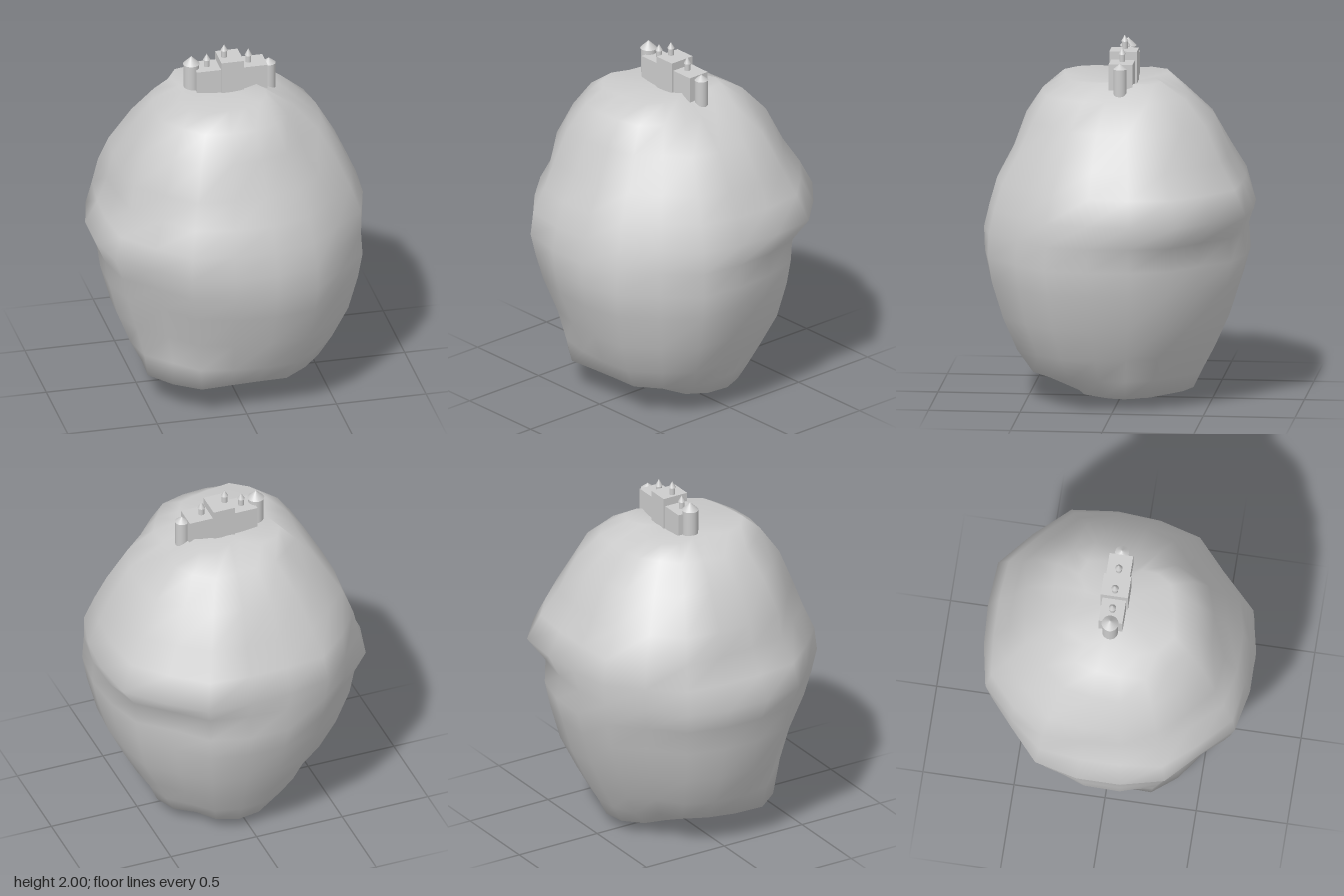
import * as THREE from 'three';

const SEGMENTS = 20;

// Rock rings: height, then radii every 45 degrees starting at +x and turning towards +z
const RINGS = [
  [0.01, 0.14, 0.12, 0.08, 0.10, 0.10, 0.10, 0.20, 0.15],
  [0.07, 0.41, 0.29, 0.18, 0.22, 0.20, 0.25, 0.40, 0.36],
  [0.17, 0.46, 0.50, 0.46, 0.54, 0.47, 0.38, 0.45, 0.43],
  [0.30, 0.53, 0.58, 0.55, 0.54, 0.55, 0.47, 0.52, 0.50],
  [0.48, 0.62, 0.66, 0.62, 0.58, 0.63, 0.56, 0.60, 0.59],
  [0.68, 0.68, 0.71, 0.70, 0.65, 0.68, 0.64, 0.66, 0.64],
  [0.82, 0.71, 0.73, 0.73, 0.69, 0.70, 0.67, 0.70, 0.66],
  [0.95, 0.71, 0.72, 0.74, 0.73, 0.76, 0.72, 0.68, 0.67],
  [1.08, 0.75, 0.70, 0.71, 0.72, 0.69, 0.72, 0.73, 0.78],
  [1.22, 0.69, 0.65, 0.67, 0.65, 0.63, 0.70, 0.67, 0.71],
  [1.36, 0.63, 0.58, 0.59, 0.62, 0.61, 0.62, 0.59, 0.62],
  [1.55, 0.52, 0.48, 0.52, 0.54, 0.50, 0.50, 0.51, 0.52],
  [1.69, 0.32, 0.39, 0.43, 0.44, 0.40, 0.37, 0.36, 0.40],
  [1.77, 0.14, 0.26, 0.30, 0.36, 0.24, 0.32, 0.18, 0.28],
];

// Smooth periodic interpolation between the eight radii of a ring,
// with blunt corners at 27 and 63 degrees in each quadrant
function radiusAt(radii, angle) {
  const t = angle / (Math.PI / 4);
  const i = Math.floor(t), f = t - i;
  const [a, b, c, d] = [-1, 0, 1, 2].map(k => radii[(i + k + 8) % 8]);
  const r = b + 0.5 * f * (c - a + f * (2 * a - 5 * b + 4 * c - d + f * (3 * (b - c) + d - a)));
  const fromDiagonal = (angle % (Math.PI / 2)) - Math.PI / 4;
  return r * (1.01 + 0.035 * Math.sin(2 * angle) ** 2 * (1 - Math.cos(10 * fromDiagonal)));
}

function rockGeometry() {
  const positions = [], index = [];
  for (const [y, ...radii] of RINGS) {
    for (let i = 0; i < SEGMENTS; i++) {
      const a = ((i + 0.5) / SEGMENTS) * Math.PI * 2;
      const r = radiusAt(radii, a);
      positions.push(r * Math.cos(a), y, r * Math.sin(a));
    }
  }
  const bottom = positions.length / 3, top = bottom + 1;
  positions.push(0.03, 0, -0.05, 0, 1.735, -0.02);
  const last = (RINGS.length - 1) * SEGMENTS;
  for (let i = 0; i < SEGMENTS; i++) {
    const n = (i + 1) % SEGMENTS;
    for (let s = 0; s < last; s += SEGMENTS) {
      const a = s + i, b = s + n, c = a + SEGMENTS, d = b + SEGMENTS;
      index.push(a, c, b, b, c, d);
    }
    index.push(bottom, i, n, top, last + n, last + i);
  }
  const geometry = new THREE.BufferGeometry();
  geometry.setAttribute('position', new THREE.Float32BufferAttribute(positions, 3));
  geometry.setIndex(index);
  geometry.computeVertexNormals();
  return geometry;
}

export function createModel() {
  const model = new THREE.Group();
  model.name = 'castleOnRock';
  const material = new THREE.MeshStandardMaterial({ color: 0xcccccc });

  const add = (parent, name, geometry, x = 0, y = 0, z = 0) => {
    const mesh = new THREE.Mesh(geometry, material);
    mesh.name = name;
    mesh.position.set(x, y, z);
    parent.add(mesh);
  };

  add(model, 'rock', rockGeometry());

  const castle = new THREE.Group();
  castle.name = 'castle';
  castle.position.z = -0.02;
  model.add(castle);

  // Walls and the taller keep, sunk a little into the rock
  const block = (name, x0, x1, top, depth) => {
    const base = 1.71;
    add(castle, name, new THREE.BoxGeometry(x1 - x0, top - base, depth), (x0 + x1) / 2, (top + base) / 2);
  };
  block('wall', -0.17, 0.225, 1.88, 0.13);
  block('keep', -0.035, 0.09, 1.925, 0.15);

  // Round towers with cone roofs
  const tower = (name, x, r, roofR, base, eave, tip) => {
    const group = new THREE.Group();
    group.name = name;
    group.position.x = x;
    castle.add(group);
    add(group, 'shaft', new THREE.CylinderGeometry(r, r, eave - base, 20), 0, (eave + base) / 2);
    add(group, 'roof', new THREE.ConeGeometry(roofR, tip - eave, 20), 0, (eave + tip) / 2);
  };
  tower('rightTower', -0.186, 0.042, 0.046, 1.71, 1.905, 1.95);
  tower('leftTower', 0.246, 0.036, 0.038, 1.71, 1.86, 1.89);
  tower('rightTurret', -0.1, 0.016, 0.02, 1.87, 1.92, 1.955);
  tower('keepTurret', -0.003, 0.016, 0.02, 1.91, 1.965, 2.0);
  tower('leftTurret', 0.132, 0.016, 0.02, 1.87, 1.92, 1.96);

  return model;
}
